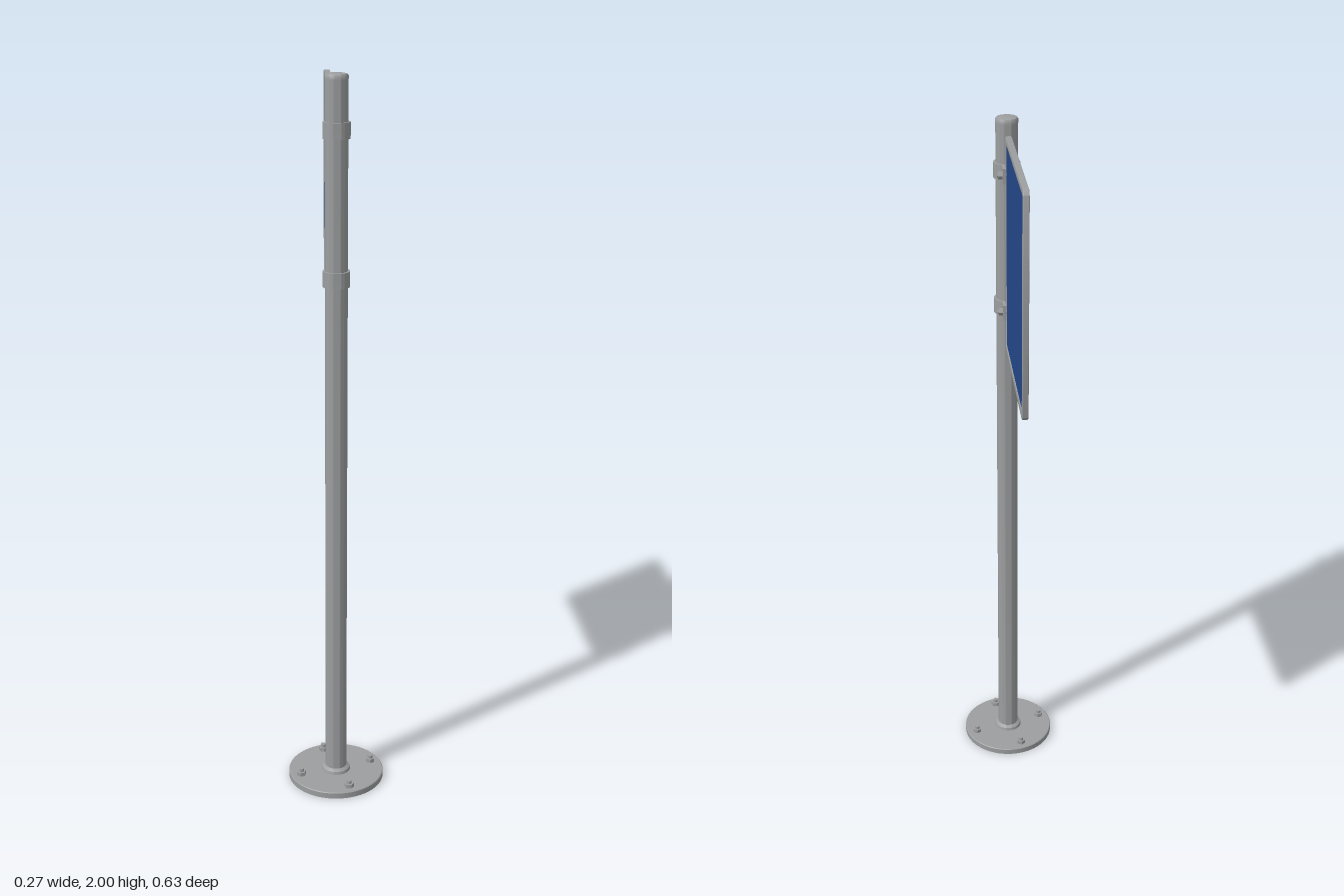
import * as THREE from 'three';
import { toCreasedNormals } from 'three/addons/utils/BufferGeometryUtils.js';

const POLE_Z = 0.18;

export function createModel() {
  const model = new THREE.Group();
  model.name = 'poleSign';

  const steel = new THREE.MeshStandardMaterial({ color: 0x9c9e9f });
  steel.name = 'galvanised steel';
  const blue = new THREE.MeshStandardMaterial({ color: 0x24498a });
  blue.name = 'blue panel';

  const add = (name, geometry, material, parent = model) => {
    const mesh = new THREE.Mesh(toCreasedNormals(geometry, 0.6), material);
    mesh.name = name;
    parent.add(mesh);
    return mesh;
  };
  const lathe = (points, segments) =>
    new THREE.LatheGeometry(points.map(([r, y]) => new THREE.Vector2(r, y)), segments);

  // Everything turned around the pole axis
  const post = new THREE.Group();
  post.name = 'post';
  post.position.z = POLE_Z;
  model.add(post);

  add('pole', lathe([[0, 0.01], [0.03, 0.01], [0.03, 1.985]], 48), steel, post);
  add('poleCap', lathe([[0.03, 1.985], [0.0305, 1.985], [0.0305, 1.994],
    [0.028, 1.998], [0.02, 2], [0, 2]], 48), steel, post);
  add('basePlate', lathe([[0, 0], [0.136, 0], [0.136, 0.016], [0.134, 0.018], [0, 0.018]], 64), steel, post);
  add('baseCollar', lathe([[0.041, 0.018], [0.039, 0.026], [0.03, 0.032]], 48), steel, post);

  // Anchor bolts: washer, hex nut and stud
  for (let i = 0; i < 4; i++) {
    const bolt = new THREE.Group();
    bolt.name = 'anchorBolt';
    const angle = i * Math.PI / 2 - 0.3;
    bolt.position.set(Math.cos(angle) * 0.107, 0.018, Math.sin(angle) * 0.107);
    bolt.rotation.y = i * 0.4;
    post.add(bolt);
    const nut = new THREE.CylinderGeometry(0.0135, 0.0135, 0.011, 6);
    add('anchorNut', nut.translate(0, 0.0055, 0), steel, bolt);
    const stud = new THREE.CylinderGeometry(0.007, 0.0075, 0.02, 16);
    add('anchorStud', stud.translate(0, 0.01, 0), steel, bolt);
  }

  // Clamp strap in plan: an open ring with two straight ears towards the sign
  const gap = 0.008, earX = 0.0165, earY = 0.064, rIn = 0.03, rOut = 0.036;
  const aIn = Math.acos(gap / rIn), aOut = Math.acos(earX / rOut);
  const strap = new THREE.Shape();
  strap.moveTo(gap, earY);
  strap.lineTo(gap, rIn * Math.sin(aIn));
  strap.absarc(0, 0, rIn, aIn, Math.PI - aIn, true);
  strap.lineTo(-gap, earY);
  strap.lineTo(-earX, earY);
  strap.lineTo(-earX, rOut * Math.sin(aOut));
  strap.absarc(0, 0, rOut, Math.PI - aOut, aOut, false);
  strap.lineTo(earX, earY);

  for (const y of [1.859, 1.475]) {
    const clamp = new THREE.Group();
    clamp.name = 'clamp';
    clamp.position.y = y;
    post.add(clamp);
    const band = new THREE.ExtrudeGeometry(strap, { depth: 0.042, bevelEnabled: false, curveSegments: 40 });
    add('clampBand', band.rotateX(-Math.PI / 2).translate(0, -0.021, 0), steel, clamp);
    // Cross bolt with a round head on one side and a hex nut on the other
    const rod = (name, r, x0, x1, sides) => {
      const g = new THREE.CylinderGeometry(r, r, x1 - x0, sides).rotateZ(Math.PI / 2);
      add(name, g.translate((x0 + x1) / 2, 0, -0.052), steel, clamp);
    };
    rod('clampBolt', 0.005, -0.02, 0.031, 16);
    rod('clampBoltHead', 0.009, -0.026, -0.0165, 24);
    rod('clampNut', 0.0105, 0.0165, 0.028, 6);
  }

  // Sign outlines are drawn as (z, y) and turned to face sideways
  const roundedRect = (Type, z0, z1, y0, y1, r) => {
    const s = new Type();
    s.moveTo(z0 + r, y0);
    s.absarc(z1 - r, y0 + r, r, -Math.PI / 2, 0);
    s.absarc(z1 - r, y1 - r, r, 0, Math.PI / 2);
    s.absarc(z0 + r, y1 - r, r, Math.PI / 2, Math.PI);
    s.absarc(z0 + r, y0 + r, r, Math.PI, Math.PI * 1.5);
    return s;
  };
  const slab = (shape, thickness, bevel) => new THREE.ExtrudeGeometry(shape, {
    depth: thickness - 2 * bevel, bevelEnabled: bevel > 0, bevelThickness: bevel,
    bevelSize: bevel, bevelOffset: -bevel, bevelSegments: 2, curveSegments: 8,
  }).translate(0, 0, bevel - thickness / 2).rotateY(-Math.PI / 2);

  const sign = new THREE.Group();
  sign.name = 'sign';
  model.add(sign);
  const frame = roundedRect(THREE.Shape, -0.317, 0.145, 1.357, 1.963, 0.022);
  frame.holes.push(roundedRect(THREE.Path, -0.298, 0.126, 1.376, 1.944, 0.004));
  add('signFrame', slab(frame, 0.016, 0.002), steel, sign);
  add('signBacking', slab(roundedRect(THREE.Shape, -0.302, 0.13, 1.372, 1.948, 0.004), 0.009, 0), steel, sign);
  for (const side of [-1, 1]) {
    const panel = slab(roundedRect(THREE.Shape, -0.296, 0.124, 1.378, 1.942, 0.008), 0.002, 0);
    add('signPanel', panel.translate(side * 0.005, 0, 0), blue, sign);
  }

  return model;
}
